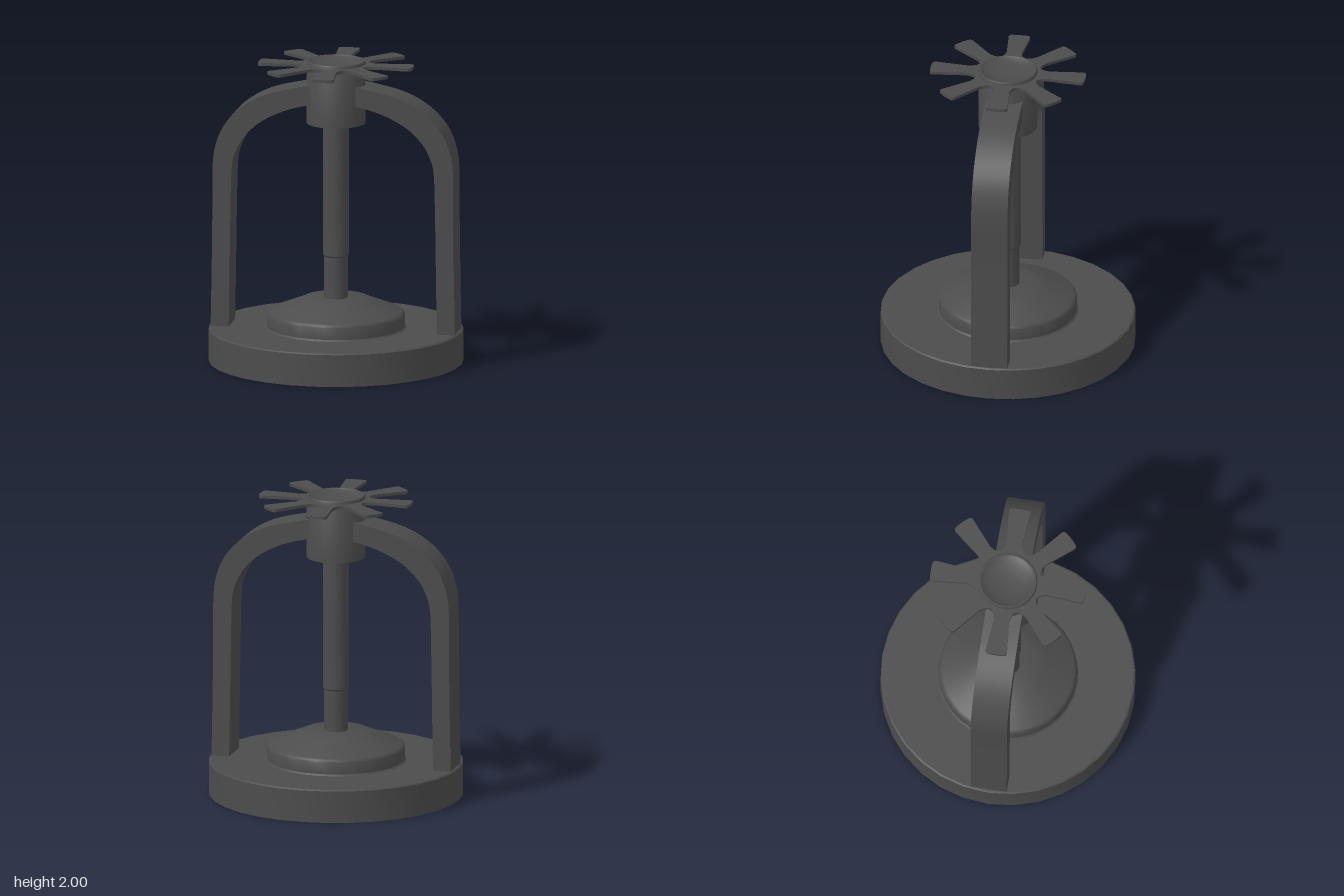
import * as THREE from 'three';
import { toCreasedNormals } from 'three/addons/utils/BufferGeometryUtils.js';

const metal = new THREE.MeshStandardMaterial({ color: 0x4c4c4c, side: THREE.DoubleSide });
metal.name = 'darkMetal';

const CREASE = 0.6;

export function createModel() {
  const model = new THREE.Group();
  model.name = 'sprinklerHead';

  const add = (name, geometry) => {
    const mesh = new THREE.Mesh(toCreasedNormals(geometry, CREASE), metal);
    mesh.name = name;
    model.add(mesh);
    return mesh;
  };
  // Revolved part from [radius, height] pairs; vertices fall on the x and z axes
  const lathe = (name, profile, sides = 32) =>
    add(name, new THREE.LatheGeometry(profile.map(([r, y]) => new THREE.Vector2(r, y)), sides));

  // Hollow base flange, open underneath, with a hole below the cap
  lathe('baseFlange', [[0.832, 0], [0.832, 0.212], [0.822, 0.22], [0.46, 0.22]]);

  // Domed cap shell standing in the flange opening
  lathe('cap', [[0.46, 0.22], [0.45, 0.23], [0.45, 0.31], [0.445, 0.32], [0.43, 0.33],
    [0.24, 0.405], [0.21, 0.42], [0, 0.42]]);

  // Stepped central stem
  lathe('stem', [[0, 0.41], [0.077, 0.41], [0.077, 0.695], [0.085, 0.705], [0.085, 1.6]], 24);

  // Hub with a shallow dished top
  lathe('hub', [[0, 1.585], [0.192, 1.585], [0.192, 1.99], [0.186, 2], [0.178, 2],
    [0.17, 1.992], [0.12, 1.978], [0.06, 1.97], [0, 1.968]]);

  // Arms: curved strip in the front plane, extruded in depth
  const arm = new THREE.Shape();
  arm.moveTo(0.69, 0.215);
  arm.lineTo(0.81, 0.215);
  arm.splineThru([[0.803, 0.6], [0.798, 1.0], [0.797, 1.28], [0.78, 1.42], [0.73, 1.55], [0.64, 1.66],
    [0.52, 1.745], [0.38, 1.8], [0.15, 1.85]].map(([x, y]) => new THREE.Vector2(x, y)));
  arm.lineTo(0.15, 1.72);
  arm.splineThru([[0.26, 1.695], [0.38, 1.65], [0.5, 1.58], [0.59, 1.49], [0.645, 1.39], [0.67, 1.28],
    [0.678, 1.0], [0.684, 0.6], [0.69, 0.215]].map(([x, y]) => new THREE.Vector2(x, y)));
  const armGeometry = new THREE.ExtrudeGeometry(arm, { depth: 0.24, bevelEnabled: false, curveSegments: 4 });
  armGeometry.translate(0, 0, -0.12);
  add('leftArm', armGeometry);
  add('rightArm', armGeometry).rotation.y = Math.PI;

  // Deflector: flat star of eight flared blades joined by rounded valleys
  const blades = 8;
  const star = new THREE.Shape();
  const at = (i, r, t) => {
    const a = (i * 2 * Math.PI) / blades;
    return [r * Math.cos(a) - t * Math.sin(a), r * Math.sin(a) + t * Math.cos(a)];
  };
  star.moveTo(...at(0, 0.27, -0.05));
  for (let i = 0; i < blades; i++) {
    star.lineTo(...at(i, 0.48, -0.07));
    star.quadraticCurveTo(...at(i, 0.505, -0.072), ...at(i, 0.507, -0.05));
    star.quadraticCurveTo(...at(i, 0.513, 0), ...at(i, 0.507, 0.05));
    star.quadraticCurveTo(...at(i, 0.505, 0.072), ...at(i, 0.48, 0.07));
    star.lineTo(...at(i, 0.27, 0.05));
    star.quadraticCurveTo(...at(i + 0.5, 0.17, 0), ...at(i + 1, 0.27, -0.05));
  }
  const hole = new THREE.Path();
  hole.absarc(0, 0, 0.183, 0, Math.PI * 2, true);
  star.holes.push(hole);
  const deflector = new THREE.ExtrudeGeometry(star, { depth: 0.02, bevelEnabled: false, curveSegments: 6 });
  deflector.rotateX(-Math.PI / 2);
  deflector.translate(0, 1.958, 0);
  add('deflector', deflector);

  return model;
}
